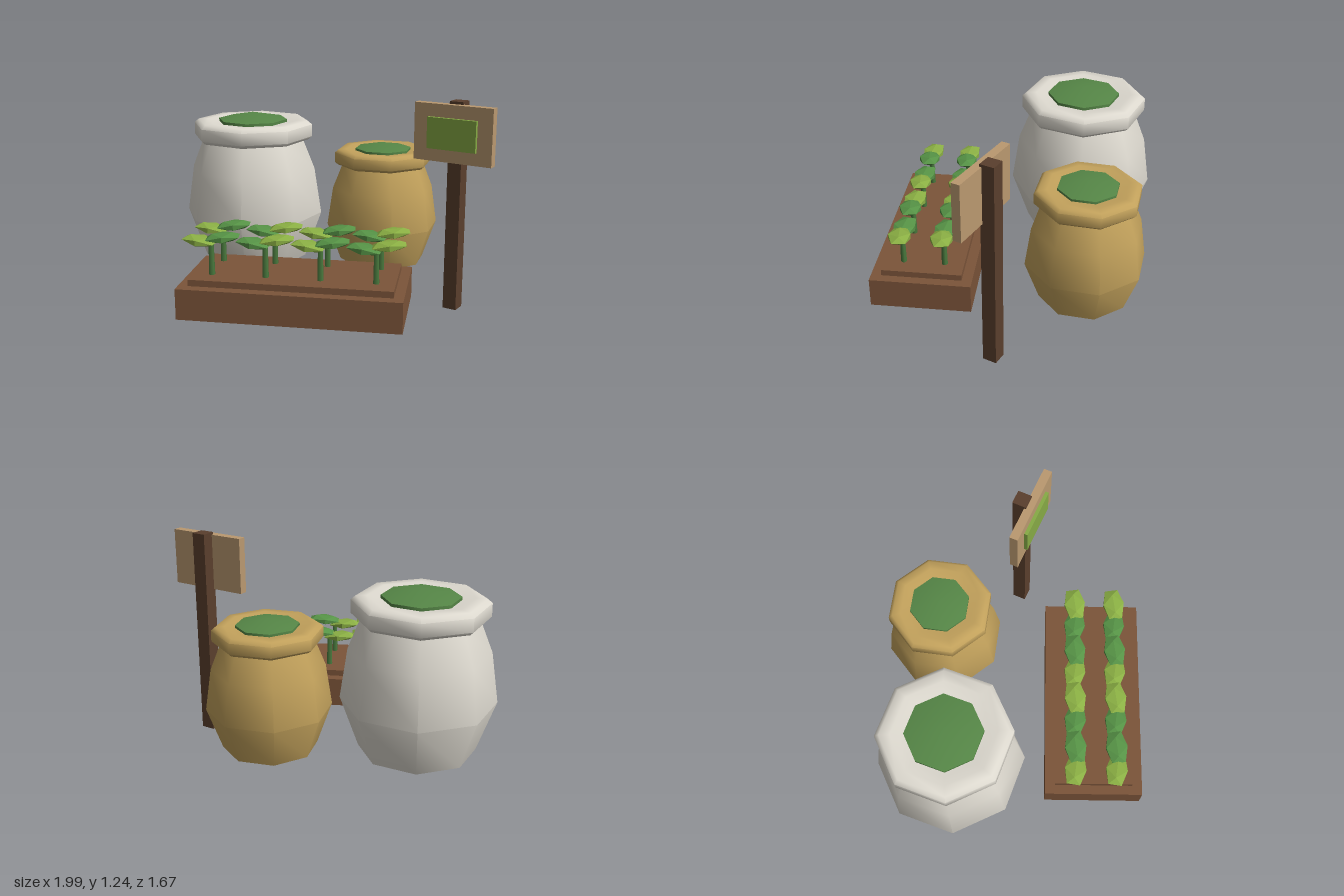
import * as THREE from 'three';
import { toCreasedNormals } from 'three/addons/utils/BufferGeometryUtils.js';

const paint = (name, color) => {
  const m = new THREE.MeshStandardMaterial({ color });
  m.name = name;
  return m;
};

export function createModel() {
  const model = new THREE.Group();
  const linen = paint('linen', 0xdedad0);
  const straw = paint('straw', 0xc3a25c);
  const herb = paint('herb green', 0x568747);
  const darkWood = paint('dark wood', 0x5a3f2d);
  const brown = paint('planter brown', 0x7b5439);
  const tan = paint('board tan', 0xba9970);
  const lime = paint('lime', 0x86aa45);
  const stemGreen = paint('stem green', 0x4a7a3e);
  const leafDark = paint('leaf green', 0x569346);
  const leafLight = paint('light leaf', 0x8bb044);

  const add = (parent, name, geometry, material, x = 0, y = 0, z = 0) => {
    const mesh = new THREE.Mesh(geometry, material);
    mesh.name = name;
    mesh.position.set(x, y, z);
    parent.add(mesh);
    return mesh;
  };
  const group = (name, x, y, z, turn) => {
    const g = new THREE.Group();
    g.name = name;
    g.position.set(x, y, z);
    g.rotation.y = turn;
    model.add(g);
    return g;
  };
  const lathe = (points) => toCreasedNormals(
    new THREE.LatheGeometry(points.map(([r, y]) => new THREE.Vector2(r, y)), 8), 0.9);

  // Sacks: eight-sided body, rolled collar and a mound of herbs
  const body = lathe([[0, 0], [0.33, 0.025], [0.435, 0.315], [0.392, 0.605], [0.315, 0.8]]);
  const collar = lathe([[0.3, 0.785], [0.355, 0.79], [0.377, 0.81], [0.377, 0.885],
    [0.35, 0.908], [0.29, 0.91], [0.24, 0.898], [0, 0.898]]);
  const mound = lathe([[0.217, 0.89], [0.217, 0.915], [0, 0.958]]);
  const sack = (name, cloth, x, z, turn, size) => {
    const g = group(name, x, 0.115, z, turn);
    g.scale.setScalar(size);
    add(g, 'sackBody', body, cloth);
    add(g, 'sackCollar', collar, cloth);
    add(g, 'herbMound', mound, herb);
  };
  sack('largeSack', linen, -0.57, -0.325, 0.19, 1);
  sack('smallSack', straw, 0.235, -0.51, 0.41, 0.81);

  // Planter box with a raised bed
  const planter = group('planter', -0.007, 0, 0.455, 0.138);
  add(planter, 'planterBox', new THREE.BoxGeometry(1.23, 0.175, 0.586), brown, 0, 0.2025, 0);
  add(planter, 'soilBed', new THREE.BoxGeometry(1.12, 0.036, 0.466), brown, 0, 0.308, 0);

  // Two rows of seedlings, each a stem with a low and a high leaf
  const stem = new THREE.CylinderGeometry(0.014, 0.018, 0.2, 6);
  const leaf = new THREE.IcosahedronGeometry(1, 0);
  leaf.scale(0.108, 0.029, 0.074);
  for (const z of [-0.12, 0.12]) {
    for (let i = 0; i < 4; i++) {
      const x = (i - 1.5) * 0.303;
      add(planter, 'stem', stem, stemGreen, x, 0.42, z);
      for (const side of [-1, 1]) {
        const light = (i % 2 === 0) === (side < 0);
        const blade = add(planter, 'leaf', leaf, light ? leafLight : leafDark,
          x + side * 0.065, 0.529 + side * 0.012, z);
        blade.rotation.set(0, side * 0.15, side * 0.1);
      }
    }
  }

  // Signpost with a board and a coloured panel
  const sign = group('signpost', 0.771, 0, -0.108, -0.268);
  add(sign, 'post', new THREE.BoxGeometry(0.083, 1.235, 0.083), darkWood, 0, 0.6175, 0);
  add(sign, 'board', new THREE.BoxGeometry(0.48, 0.33, 0.05), tan, 0, 1.055, 0.055);
  add(sign, 'panel', new THREE.BoxGeometry(0.3, 0.18, 0.022), lime, 0, 1.055, 0.09);

  return model;
}
